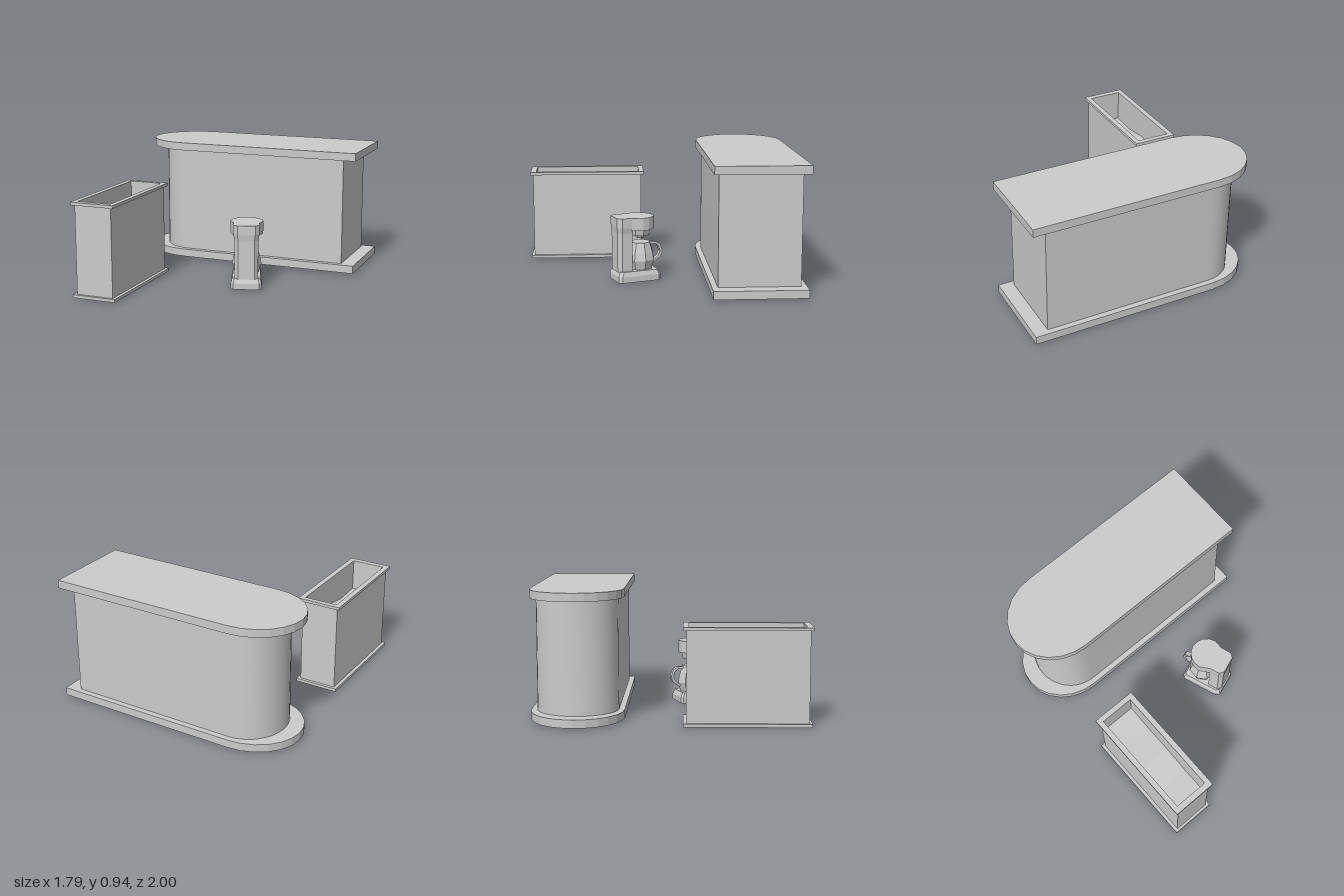
import * as THREE from 'three';
import { toCreasedNormals } from 'three/addons/utils/BufferGeometryUtils.js';

const material = new THREE.MeshStandardMaterial({ color: 0xcccccc, flatShading: true });
const smooth = new THREE.MeshStandardMaterial({ color: 0xcccccc });
const twoSided = new THREE.MeshStandardMaterial({ color: 0xcccccc, flatShading: true, side: THREE.DoubleSide });

function add(parent, name, geometry, mat = material) {
  const mesh = new THREE.Mesh(geometry, mat);
  mesh.name = name;
  parent.add(mesh);
  return mesh;
}

const toShape = (points) => new THREE.Shape(points.map(([x, z]) => new THREE.Vector2(x, -z)));

const rect = (x0, x1, z0, z1) => [[x0, z0], [x0, z1], [x1, z1], [x1, z0]];

// Raises a plan outline of [x, z] points from y0 to y1, with an optional hole.
function prism(points, y0, y1, hole) {
  const shape = toShape(points);
  if (hole) shape.holes.push(toShape(hole));
  return new THREE.ExtrudeGeometry(shape, { depth: y1 - y0, bevelEnabled: false })
    .rotateX(-Math.PI / 2).translate(0, y0, 0);
}

// Prism whose bottom and top are scaled about the point (0, cz).
function taper(points, y0, y1, s0, s1, cz = 0) {
  const geometry = prism(points, y0, y1);
  const p = geometry.attributes.position;
  for (let i = 0; i < p.count; i++) {
    const s = p.getY(i) > (y0 + y1) / 2 ? s1 : s0;
    p.setXYZ(i, p.getX(i) * s, p.getY(i), cz + (p.getZ(i) - cz) * s);
  }
  geometry.computeVertexNormals();
  return geometry;
}

// Straight counter outline closed by a half-elliptical left end.
function counterOutline(right, start, left, half, segments) {
  const cz = -0.6625;
  const points = [[right, cz - half]];
  for (let i = 0; i <= segments; i++) {
    const a = (i / segments) * Math.PI;
    points.push([start - (start - left) * Math.sin(a), cz - half * Math.cos(a)]);
  }
  points.push([right, cz + half]);
  return points;
}

function createCounter() {
  const group = new THREE.Group();
  group.name = 'counter';
  const slab = counterOutline(0.895, -0.52, -0.9, 0.3375, 12);
  add(group, 'counterPlinth', prism(slab, 0.01, 0.07));
  add(group, 'counterTop', prism(slab, 0.885, 0.945));
  const body = counterOutline(0.79, -0.5, -0.78, 0.295, 20);
  add(group, 'counterBody', toCreasedNormals(prism(body, 0.07, 0.885), 0.6), smooth);
  return group;
}

function createBin() {
  const group = new THREE.Group();
  group.name = 'openBin';
  const outer = rect(-0.8, -0.465, 0.095, 1);
  const inner = rect(-0.76, -0.505, 0.135, 0.955);
  add(group, 'binFoot', prism(outer, 0, 0.023));
  add(group, 'binWalls', prism(rect(-0.775, -0.49, 0.118, 0.98), 0.023, 0.678, inner));
  add(group, 'binRim', prism(outer, 0.678, 0.7, inner));

  // Gently folded surface inside the bin
  const floor = new THREE.PlaneGeometry(0.255, 0.82, 1, 4).rotateX(-Math.PI / 2);
  const heights = [0.49, 0.47, 0.48, 0.45, 0.46];
  const p = floor.attributes.position;
  for (let i = 0; i < p.count; i++) p.setY(i, heights[Math.floor(i / 2)]);
  add(group, 'binFloor', floor.translate(-0.6325, 0, 0.545), twoSided);
  return group;
}

// Coffee machine, built facing +z and then turned into place
function createCoffeeMachine() {
  const group = new THREE.Group();
  group.name = 'coffeeMachine';

  const base = [[-0.114, -0.14], [-0.095, -0.165], [0.095, -0.165], [0.114, -0.14],
    [0.114, 0.15], [0.1, 0.165], [-0.1, 0.165], [-0.114, 0.15]].reverse();
  add(group, 'base', taper(base, 0, 0.045, 1, 1));
  add(group, 'baseBevel', taper(base, 0.045, 0.08, 1, 0.9));

  const back = [[-0.095, -0.135], [-0.065, -0.165], [0.065, -0.165], [0.095, -0.135],
    [0.095, -0.05], [-0.095, -0.05]].reverse();
  add(group, 'column', taper(back, 0.075, 0.365, 0.92, 0.92, -0.1));
  add(group, 'headFlare', taper(back, 0.365, 0.41, 0.92, 1, -0.1));
  add(group, 'headBack', prism(back, 0.41, 0.48));

  // Rounded brewing head reaching forward over the jug
  const front = [[-0.095, -0.06]];
  for (let i = 0; i <= 8; i++) {
    const a = Math.PI - (i / 8) * Math.PI;
    front.push([0.122 * Math.cos(a), 0.02 + 0.125 * Math.sin(a)]);
  }
  front.push([0.095, -0.06]);
  add(group, 'brewHead', prism(front, 0.385, 0.478));
  add(group, 'filterHolder', new THREE.CylinderGeometry(0.085, 0.075, 0.05, 8).translate(0, 0.36, 0.04));
  add(group, 'nozzle', new THREE.CylinderGeometry(0.04, 0.03, 0.025, 8).translate(0, 0.323, 0.04));

  const profile = [[0, 0.08], [0.09, 0.08], [0.11, 0.15], [0.1, 0.2], [0.075, 0.28], [0, 0.28]]
    .map(([x, y]) => new THREE.Vector2(x, y));
  add(group, 'jug', new THREE.LatheGeometry(profile, 8).translate(0, 0, 0.045), twoSided);

  // Flat curved jug handle; outline is [z, y]
  const outline = [[0.11, 0.275], [0.165, 0.272], [0.2, 0.25], [0.217, 0.2], [0.205, 0.155], [0.145, 0.115],
    [0.14, 0.13], [0.185, 0.165], [0.198, 0.2], [0.183, 0.238], [0.16, 0.255], [0.11, 0.255]];
  const handle = new THREE.ExtrudeGeometry(
    new THREE.Shape(outline.map(([z, y]) => new THREE.Vector2(z, y))), { depth: 0.035, bevelEnabled: false });
  add(group, 'jugHandle', handle.translate(0, 0, -0.0175).rotateY(-Math.PI / 2));

  group.position.set(0.222, 0, 0.195);
  group.rotation.y = Math.PI + 0.347;
  return group;
}

export function createModel() {
  const model = new THREE.Group();
  model.name = 'counterSet';
  model.add(createCounter(), createBin(), createCoffeeMachine());
  return model;
}
